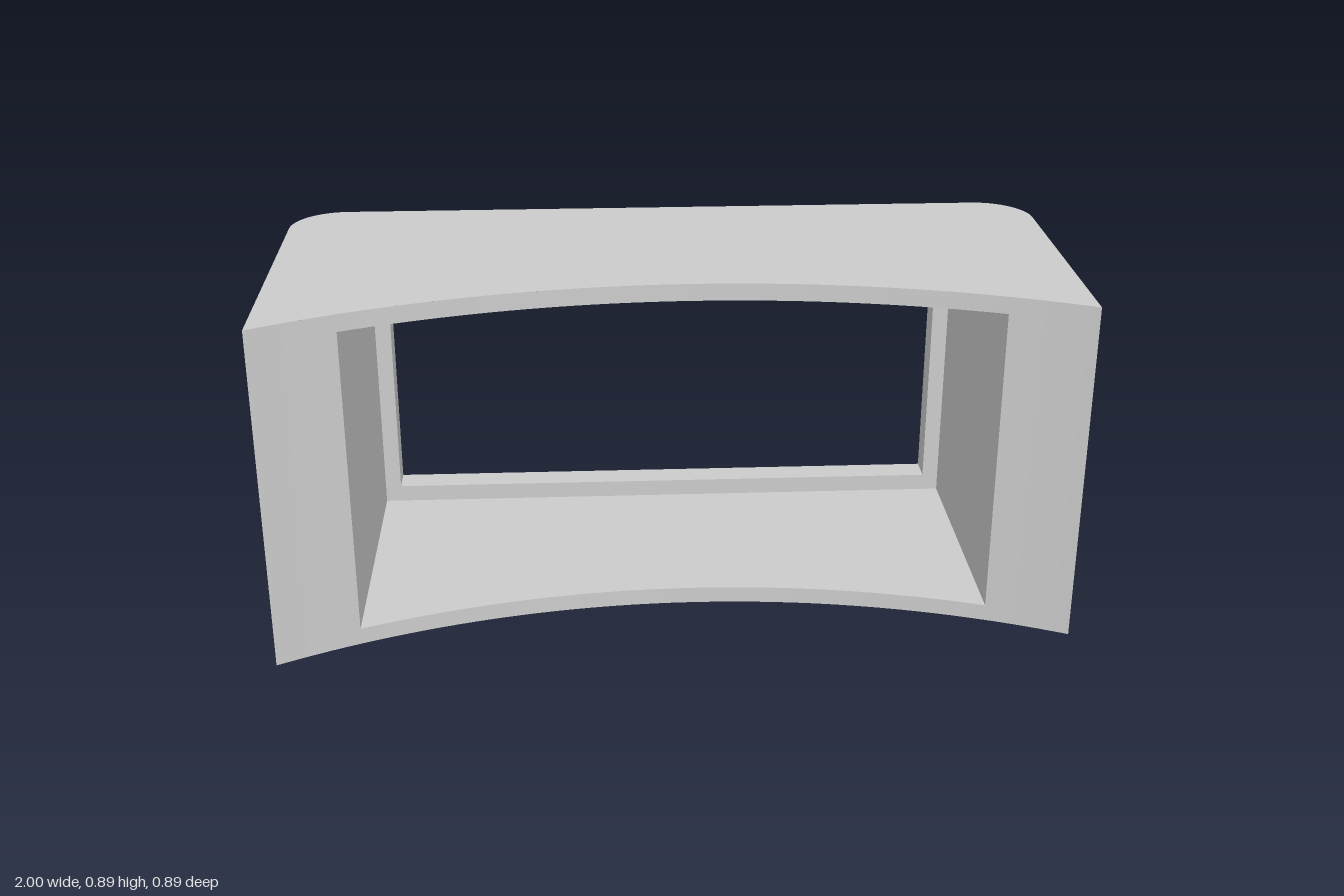
import * as THREE from 'three';
import { mergeGeometries, toCreasedNormals } from 'three/addons/utils/BufferGeometryUtils.js';

const H = 0.89, BACK = -0.445, LIP = -0.37, CORNER = 0.14;
const pocket = { x: 0.8, y0: 0.043, y1: 0.846 };   // wide opening from the front
const win = { x: 0.757, y0: 0.089, y1: 0.8 };      // smaller opening through the back

// Concave front edge: an arc in plan, its middle slightly off centre
const R = 2.23, CX = 0.05, APEX = 0.185;
const frontZ = (x) => APEX + R - Math.sqrt(R * R - (x - CX) ** 2);
const frontArc = (a, b, n) => Array.from({ length: n + 1 }, (_, i) => {
  const x = a + (b - a) * i / n;
  return [x, frontZ(x)];
});

// Rounded back corner, from the side (x = 1) to the back
const corner = Array.from({ length: 17 }, (_, i) => {
  const a = i / 16 * Math.PI / 2;
  return [1 - CORNER + CORNER * Math.cos(a), BACK + CORNER - CORNER * Math.sin(a)];
});
const mirror = (pts) => pts.map(([x, z]) => [-x, z]).reverse();

// Vertical wall along a plan path; it faces the right-hand side of the path
function wall(path, y0, y1) {
  const pos = [];
  for (let i = 0; i < path.length - 1; i++) {
    const [ax, az] = path[i], [bx, bz] = path[i + 1];
    pos.push(ax, y0, az, bx, y0, bz, bx, y1, bz, ax, y0, az, bx, y1, bz, ax, y1, az);
  }
  const g = new THREE.BufferGeometry();
  g.setAttribute('position', new THREE.Float32BufferAttribute(pos, 3));
  return g;
}

function bare(g) {
  const out = g.toNonIndexed();
  out.deleteAttribute('uv');
  out.deleteAttribute('normal');
  return out;
}

// Flat plate from a plan outline, facing up or down
function plate(path, y, up) {
  const s = up ? -1 : 1;
  const shape = new THREE.Shape(path.map(([x, z]) => new THREE.Vector2(x, s * z)));
  return bare(new THREE.ShapeGeometry(shape).rotateX(s * Math.PI / 2).translate(0, y, 0));
}

const rect = ({ x, y0, y1 }) => [[-x, y0], [x, y0], [x, y1], [-x, y1]].map((p) => new THREE.Vector2(...p));

function part(name, pieces) {
  const material = new THREE.MeshStandardMaterial({ color: 0xcccccc });
  const mesh = new THREE.Mesh(toCreasedNormals(mergeGeometries(pieces), 0.5), material);
  mesh.name = name;
  return mesh;
}

export function createModel() {
  const group = new THREE.Group();
  group.name = 'curvedFrame';
  const P = pocket, W = win;

  // Outer shell: top, bottom, sides and the rims around both openings
  const outline = [...frontArc(-1, 1, 48), ...corner, ...mirror(corner)];
  const rightSide = [...frontArc(P.x, 1, 6), ...corner, [W.x, BACK]];
  const leftSide = [[-W.x, BACK], ...mirror(corner), ...frontArc(-1, -P.x, 6)];
  const frontRim = frontArc(-P.x, P.x, 40), backRim = [[W.x, BACK], [-W.x, BACK]];
  group.add(part('outerShell', [
    plate(outline, H, true), plate(outline, 0, false),
    wall(rightSide, 0, H), wall(leftSide, 0, H),
    wall(frontRim, 0, P.y0), wall(frontRim, P.y1, H),
    wall(backRim, 0, W.y0), wall(backRim, W.y1, H),
  ]));

  // Pocket behind the curved front
  const pocketPlan = [...frontRim, [P.x, LIP], [-P.x, LIP]];
  group.add(part('pocketLining', [
    plate(pocketPlan, P.y0, true), plate(pocketPlan, P.y1, false),
    wall([[P.x, LIP], [P.x, frontZ(P.x)]], P.y0, P.y1),
    wall([[-P.x, frontZ(-P.x)], [-P.x, LIP]], P.y0, P.y1),
  ]));

  // Narrow lip framing the back window
  const lipShape = new THREE.Shape(rect(P));
  lipShape.holes.push(new THREE.Path(rect(W)));
  const windowPlan = [[-W.x, LIP], [W.x, LIP], [W.x, BACK], [-W.x, BACK]];
  group.add(part('backLip', [
    bare(new THREE.ShapeGeometry(lipShape).translate(0, 0, LIP)),
    plate(windowPlan, W.y0, true), plate(windowPlan, W.y1, false),
    wall([[W.x, BACK], [W.x, LIP]], W.y0, W.y1),
    wall([[-W.x, LIP], [-W.x, BACK]], W.y0, W.y1),
  ]));
  return group;
}
